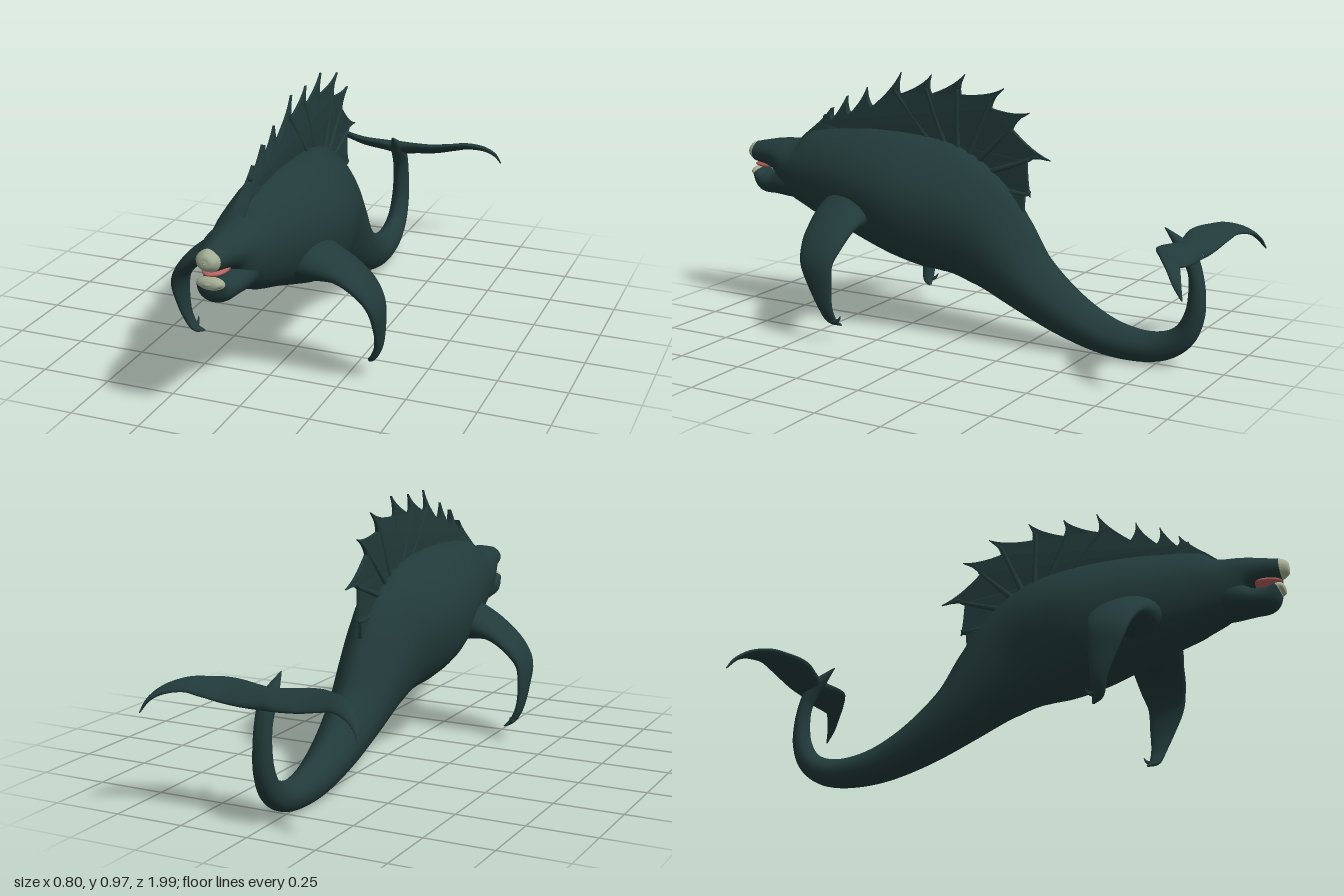
import * as THREE from 'three';

const V = (x, y, z) => new THREE.Vector3(x, y, z);
const mat = (name, color) => {
  const m = new THREE.MeshStandardMaterial({ color });
  m.name = name;
  return m;
};

// Smooth tube through stations [x, y, z, sideRadius, otherRadius]; `side` is the axis of the first radius.
// `section` maps an angle to a unit cross-section; rows before `split` go to material group 1.
function loft(stations, side, { rows = 60, n = 28, split = 0, section = a => [Math.cos(a), Math.sin(a)] } = {}) {
  const path = new THREE.CatmullRomCurve3(stations.map(s => V(s[0], s[1], s[2])), false, 'catmullrom');
  const radii = new THREE.CatmullRomCurve3(stations.map(s => V(s[3], s[4], 0)), false, 'catmullrom');
  const pos = [], idx = [];
  for (let i = 0; i <= rows; i++) {
    const c = path.getPoint(i / rows), t = path.getTangent(i / rows), r = radii.getPoint(i / rows);
    const s = side.clone().addScaledVector(t, -side.dot(t)).normalize();
    const b = s.clone().cross(t).normalize();
    for (let j = 0; j < n; j++) {
      const [u, v] = section(j / n * Math.PI * 2);
      const p = c.clone().addScaledVector(s, u * Math.max(r.x, 0.001)).addScaledVector(b, v * Math.max(r.y, 0.001));
      pos.push(p.x, p.y, p.z);
    }
  }
  for (let i = 0; i < rows; i++) for (let j = 0; j < n; j++) {
    const a = i * n + j, b = i * n + (j + 1) % n;
    idx.push(a, a + n, b, b, a + n, b + n);
  }
  const g = new THREE.BufferGeometry();
  g.setAttribute('position', new THREE.Float32BufferAttribute(pos, 3));
  g.setIndex(idx);
  g.computeVertexNormals();
  const cut = split * n * 6;
  if (split) g.addGroup(0, cut, 1);
  g.addGroup(cut, idx.length - cut, 0);
  return g;
}

export function createModel() {
  const model = new THREE.Group();
  model.name = 'seaMonster';
  const skin = mat('darkTealSkin', 0x223a3a);
  const lip = mat('paleLip', 0xa3ad94);
  const flesh = mat('pinkTongue', 0xb5625f);
  const add = (name, geo, material, parent = model) => {
    const m = new THREE.Mesh(geo, material);
    m.name = name;
    parent.add(m);
    return m;
  };
  const X = V(1, 0, 0), Z = V(0, 0, 1);

  // Body from snout to tail tip: [z, y, half height, half width]
  const spine = [
    [0.99, 0.612, 0.003, 0.003], [0.985, 0.612, 0.022, 0.025], [0.965, 0.613, 0.036, 0.04],
    [0.94, 0.612, 0.042, 0.048], [0.88, 0.612, 0.055, 0.065], [0.82, 0.605, 0.075, 0.085],
    [0.74, 0.575, 0.13, 0.105], [0.65, 0.565, 0.165, 0.125], [0.55, 0.555, 0.185, 0.15],
    [0.42, 0.54, 0.21, 0.18], [0.25, 0.51, 0.235, 0.202], [0.1, 0.478, 0.24, 0.18],
    [-0.02, 0.425, 0.215, 0.145], [-0.13, 0.345, 0.17, 0.125], [-0.25, 0.245, 0.12, 0.107],
    [-0.4, 0.15, 0.09, 0.086], [-0.55, 0.087, 0.07, 0.068], [-0.68, 0.067, 0.058, 0.055],
    [-0.78, 0.08, 0.051, 0.046], [-0.85, 0.125, 0.043, 0.04], [-0.886, 0.2, 0.036, 0.036],
    [-0.893, 0.28, 0.03, 0.033], [-0.885, 0.35, 0.025, 0.032], [-0.865, 0.4, 0.026, 0.032],
    [-0.83, 0.445, 0.022, 0.026], [-0.795, 0.478, 0.011, 0.012], [-0.77, 0.5, 0.002, 0.002]];
  const bodySection = a => {
    const c = Math.cos(a), s = Math.sin(a);
    return s > 0 ? [c * (1 - 0.3 * s * s), s] : [Math.sign(c) * Math.abs(c) ** 0.85, s];
  };
  const station = ([z, y, h, w]) => [0, y, z, w, h];
  const steps = 6;
  add('body', loft(spine.map(station), X, {
    rows: (spine.length - 1) * steps, n: 40, split: 2 * steps + 2, section: bodySection,
  }), [skin, lip]);

  // Lower jaw and tongue
  const jaw = [[0.972, 0.536, 0.003, 0.008], [0.965, 0.535, 0.016, 0.036], [0.945, 0.531, 0.022, 0.05],
    [0.91, 0.502, 0.046, 0.06], [0.86, 0.498, 0.046, 0.07], [0.8, 0.51, 0.065, 0.085], [0.72, 0.53, 0.09, 0.09]];
  add('lowerJaw', loft(jaw.map(station), X, { rows: 36, split: 12 }), [skin, lip]);
  const tongue = add('tongue', new THREE.SphereGeometry(1, 20, 12), flesh);
  tongue.scale.set(0.042, 0.013, 0.065);
  tongue.position.set(0, 0.564, 0.9);

  // Dorsal sail: [tip z, tip y, foot z, foot y] for each hooked spike
  const spikes = [[0.6, 0.81, 0.595, 0.765], [0.53, 0.86, 0.52, 0.79], [0.44, 0.9, 0.42, 0.825],
    [0.29, 0.965, 0.295, 0.885], [0.16, 0.965, 0.16, 0.895], [0.02, 0.975, 0.035, 0.9],
    [-0.14, 0.935, -0.09, 0.86], [-0.245, 0.855, -0.175, 0.79], [-0.33, 0.69, -0.235, 0.68],
    [-0.25, 0.55, -0.228, 0.56]];
  const sail = new THREE.Group();
  sail.name = 'dorsalSail';
  model.add(sail);
  const outline = new THREE.Shape();
  outline.moveTo(0.74, 0.68);
  let prev = new THREE.Vector2(0.7, 0.715);
  outline.lineTo(prev.x, prev.y);
  for (const [tz, ty, fz, fy] of spikes) {
    const tip = new THREE.Vector2(tz, ty), foot = new THREE.Vector2(fz, fy);
    const ahead = prev.clone().sub(foot).normalize();
    const bend = (k, w) => foot.clone().lerp(tip, k).addScaledVector(ahead, w);
    const front = bend(0.4, 0.035), rear = bend(0.45, 0.016);
    outline.quadraticCurveTo(front.x, front.y, tip.x, tip.y);
    outline.quadraticCurveTo(rear.x, rear.y, foot.x, foot.y);
    prev = foot;
    // Rib that fans from the back up into the spike
    const mid = bend(0.35, 0.017);
    const root = foot.clone().lerp(new THREE.Vector2(0.05, 0.58), 0.7);
    add('sailRib', loft([[0, root.y, root.x, 0.02, 0.016], [0, foot.y, foot.x + ahead.x * 0.015, 0.011, 0.009],
      [0, mid.y, mid.x, 0.008, 0.007], [0, ty, tz, 0.002, 0.002]], X, { rows: 12, n: 8 }), skin, sail);
  }
  for (const [z, y] of [[-0.22, 0.44], [-0.17, 0.4], [-0.05, 0.52], [0.2, 0.6], [0.6, 0.64]]) outline.lineTo(z, y);
  const web = new THREE.ExtrudeGeometry(outline, { depth: 1, bevelEnabled: false, curveSegments: 8 });
  web.translate(0, 0, -0.5);
  web.rotateY(-Math.PI / 2);
  const p = web.attributes.position;
  for (let i = 0; i < p.count; i++) {
    const low = THREE.MathUtils.clamp((0.9 - p.getY(i)) / 0.25, 0, 1);
    const fore = THREE.MathUtils.clamp((p.getZ(i) + 0.25) / 0.2, 0, 1);
    p.setX(i, p.getX(i) * (0.009 + 0.045 * low * fore));
  }
  web.computeVertexNormals();
  add('sailWeb', web, skin, sail);

  // Paired flippers with claws, and tail flukes
  const flipper = [[0.08, 0.46, 0.44, 0.12, 0.09], [0.17, 0.445, 0.44, 0.112, 0.065], [0.25, 0.42, 0.435, 0.098, 0.04],
    [0.32, 0.37, 0.432, 0.088, 0.03], [0.365, 0.305, 0.43, 0.07, 0.024], [0.373, 0.22, 0.412, 0.05, 0.016],
    [0.365, 0.14, 0.396, 0.03, 0.014], [0.342, 0.088, 0.385, 0.022, 0.011], [0.316, 0.066, 0.36, 0.004, 0.003]];
  const claw = [[0.35, 0.1, 0.395, 0.012, 0.012], [0.345, 0.088, 0.37, 0.009, 0.009],
    [0.345, 0.095, 0.352, 0.005, 0.005], [0.348, 0.112, 0.342, 0.001, 0.001]];
  const fluke = [[0, 0.43, -0.865, 0.05, 0.026], [0.07, 0.435, -0.865, 0.058, 0.02], [0.15, 0.442, -0.862, 0.062, 0.016],
    [0.22, 0.45, -0.882, 0.05, 0.013], [0.28, 0.455, -0.907, 0.036, 0.012], [0.34, 0.44, -0.943, 0.024, 0.01],
    [0.38, 0.41, -0.972, 0.014, 0.007], [0.4, 0.368, -0.998, 0.002, 0.002]];
  for (const [label, sx] of [['left', 1], ['right', -1]]) {
    const flip = list => list.map(([x, ...rest]) => [x * sx, ...rest]);
    add(label + 'Flipper', loft(flip(flipper), Z, { rows: 40, n: 24 }), skin);
    add(label + 'FlipperClaw', loft(flip(claw), X, { rows: 12, n: 10 }), skin);
    add(label + 'Fluke', loft(flip(fluke), V(0, 0.42, 0.9), { rows: 36, n: 20 }), skin);
  }
  return model;
}
